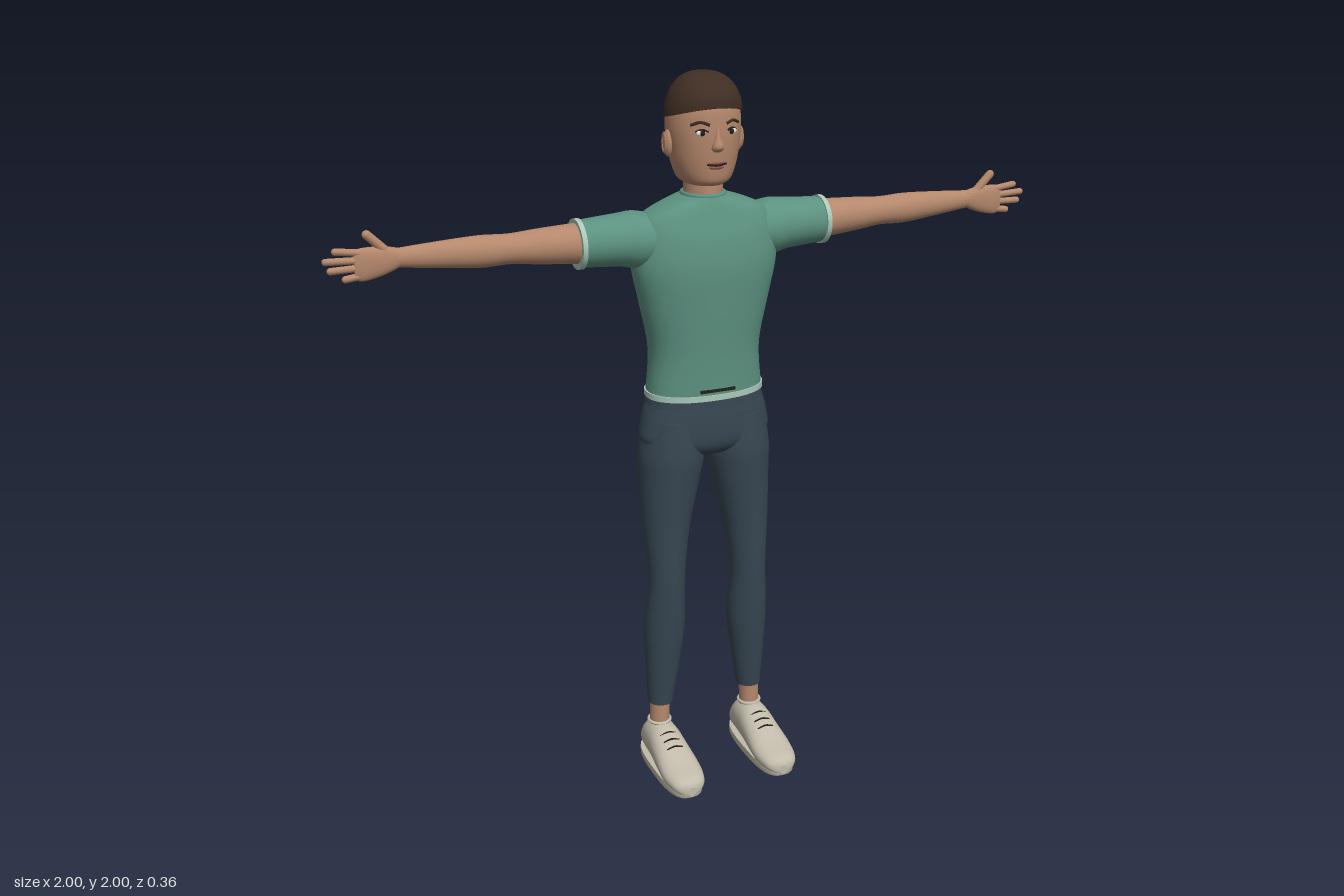
import * as THREE from 'three';

const mat = (name, color) => new THREE.MeshStandardMaterial({ name, color });
const M = {
  skin: mat('skin', 0xb5886c), shirt: mat('shirt green', 0x5c9180), trim: mat('pale trim', 0xa9c8b8),
  pants: mat('trouser blue', 0x384752), hair: mat('hair brown', 0x402e24), shoe: mat('shoe cream', 0xc2bbab),
  sole: mat('sole grey', 0xa39c8e), dark: mat('dark detail', 0x241f1e), white: mat('eye white', 0xe4dfd6),
  lips: mat('lip', 0x965a4e),
};

// Smooth closed loft. Each section is [t, centreU, centreV, radiusU, radiusV] along the given axis.
function loft(axis, sections, { power = 2, sides = 32, steps = 5 } = {}) {
  const rows = [], last = sections.length - 1;
  for (let i = 0; i <= last * steps; i++) {
    const k = Math.min(Math.floor(i / steps), last - 1), f = i / steps - k;
    const at = (n) => sections[THREE.MathUtils.clamp(n, 0, last)];
    rows.push(at(k).map((b, c) => {
      const a = at(k - 1)[c], d = at(k + 1)[c], e = at(k + 2)[c];
      return b + 0.5 * f * (d - a + f * (2 * a - 5 * b + 4 * d - e + f * (3 * (b - d) + e - a)));
    }));
  }
  const pos = [], idx = [];
  const put = (t, u, v) => pos.push(...(axis === 'x' ? [t, u, v] : axis === 'y' ? [u, t, v] : [u, v, t]));
  const flip = (axis === 'y') !== (sections[last][0] < sections[0][0]);
  const tri = (a, b, c) => idx.push(...(flip ? [a, c, b] : [a, b, c]));
  const bend = (x) => Math.sign(x) * Math.abs(x) ** (2 / power);
  const ring = ([t, cu, cv, ru, rv]) => {
    for (let j = 0; j < sides; j++) {
      const a = (j / sides) * Math.PI * 2;
      put(t, cu + ru * bend(Math.cos(a)), cv + rv * bend(Math.sin(a)));
    }
  };
  rows.forEach(ring);
  for (let i = 0; i < rows.length - 1; i++) for (let j = 0; j < sides; j++) {
    const a = i * sides + j, b = i * sides + (j + 1) % sides;
    tri(a, b, a + sides);
    tri(b, b + sides, a + sides);
  }
  [rows[0], rows[rows.length - 1]].forEach((r, end) => {
    const base = pos.length / 3;
    ring(r);
    put(r[0], r[1], r[2]);
    for (let j = 0; j < sides; j++) {
      const a = base + j, b = base + (j + 1) % sides;
      end ? tri(base + sides, a, b) : tri(base + sides, b, a);
    }
  });
  const g = new THREE.BufferGeometry();
  g.setAttribute('position', new THREE.Float32BufferAttribute(pos, 3));
  g.setIndex(idx);
  g.computeVertexNormals();
  return g;
}

const ball = (x, y, z, rx, ry, rz) => new THREE.SphereGeometry(1, 20, 14).scale(rx, ry, rz).translate(x, y, z);
const tube = (pts, r) => new THREE.TubeGeometry(
  new THREE.CatmullRomCurve3(pts.map((p) => new THREE.Vector3(...p))), 12, r, 6);

function mirrored(geometry) {
  const g = geometry.clone().scale(-1, 1, 1), ix = g.index.array;
  for (let i = 0; i < ix.length; i += 3) [ix[i], ix[i + 1]] = [ix[i + 1], ix[i]];
  g.computeVertexNormals();
  return g;
}

export function createModel() {
  const model = new THREE.Group();
  model.name = 'person';
  const add = (name, geometry, material) => {
    const m = new THREE.Mesh(geometry, material);
    m.name = name;
    model.add(m);
  };
  const pair = (name, geometry, material) => {
    add('left' + name, geometry, material);
    add('right' + name, mirrored(geometry), material);
  };

  // Head and neck
  add('head', loft('y', [
    [1.716, 0, -0.07, 0.05, 0.07], [1.73, 0, -0.068, 0.069, 0.083], [1.77, 0, -0.068, 0.085, 0.09],
    [1.82, 0, -0.069, 0.094, 0.096], [1.87, 0, -0.07, 0.098, 0.098], [1.92, 0, -0.07, 0.091, 0.094],
    [1.955, 0, -0.07, 0.068, 0.07], [1.975, 0, -0.07, 0.03, 0.03]], { power: 2.1 }), M.skin);
  add('neck', loft('y', [[1.66, 0, -0.07, 0.053, 0.06], [1.74, 0, -0.07, 0.05, 0.058]]), M.skin);

  // Hair cap with a hairline that rises to the front
  const dome = [];
  for (let i = 0; i <= 8; i++) {
    const a = (i / 8) * 1.555, r = Math.cos(a) ** 0.78;
    dome.push([1.89 + 0.11 * Math.sin(a), 0, -0.07, 0.102 * r, 0.104 * r]);
  }
  const hair = loft('y', dome, { steps: 3, sides: 40 }), hp = hair.attributes.position;
  for (let i = 0; i < hp.count; i++) {
    const s = (hp.getZ(i) + 0.07) / 0.104, y = hp.getY(i);
    hp.setY(i, y + (0.022 * s + 0.008 * s * s) * (2 - y) / 0.11);
  }
  hair.computeVertexNormals();
  add('hair', hair, M.hair);

  // Face
  const faceZ = (x) => -0.07 + 0.1 * Math.sqrt(1 - (x / 0.099) ** 2);
  pair('Ear', ball(0.098, 1.822, -0.07, 0.012, 0.035, 0.019), M.skin);
  pair('EarFold', new THREE.TorusGeometry(0.012, 0.003, 6, 20).scale(1, 1.9, 1)
    .rotateY(Math.PI / 2).translate(0.108, 1.824, -0.07), M.skin);
  pair('Eye', ball(0.041, 1.858, faceZ(0.041) - 0.002, 0.015, 0.008, 0.005), M.white);
  pair('Pupil', ball(0.04, 1.858, faceZ(0.04) + 0.001, 0.007, 0.0075, 0.004), M.dark);
  pair('UpperLid', tube([0.026, 0.041, 0.056].map((x, i) => [x, i === 1 ? 1.867 : 1.861, faceZ(x) + 0.001]), 0.0025), M.dark);
  pair('Eyebrow', tube([0.022, 0.045, 0.066].map((x, i) => [x, [1.878, 1.885, 1.877][i], faceZ(x)]), 0.004), M.hair);
  add('nose', loft('y', [
    [1.807, 0, 0.022, 0.008, 0.006], [1.815, 0, 0.025, 0.016, 0.016], [1.826, 0, 0.026, 0.015, 0.018],
    [1.845, 0, 0.023, 0.009, 0.013], [1.872, 0, 0.02, 0.006, 0.009]], { sides: 16 }), M.skin);
  add('upperLip', ball(0, 1.779, 0.019, 0.025, 0.005, 0.007), M.lips);
  add('lowerLip', ball(0, 1.768, 0.019, 0.021, 0.006, 0.008), M.lips);
  add('mouthLine', tube([[-0.027, 1.776, 0.02], [0, 1.773, 0.026], [0.027, 1.776, 0.02]], 0.0025), M.dark);

  // Shirt
  add('shirtBody', loft('y', [
    [1.145, 0, -0.07, 0.165, 0.1], [1.27, 0, -0.069, 0.156, 0.102], [1.4, 0, -0.066, 0.181, 0.107],
    [1.5, 0, -0.065, 0.202, 0.11], [1.58, 0, -0.067, 0.197, 0.102], [1.635, 0, -0.068, 0.176, 0.085],
    [1.665, 0, -0.068, 0.122, 0.074], [1.685, 0, -0.069, 0.06, 0.066]], { power: 2.25, sides: 48 }), M.shirt);
  add('collar', new THREE.TorusGeometry(0.054, 0.007, 8, 32).rotateX(Math.PI / 2)
    .scale(1, 1, 1.12).translate(0, 1.686, -0.07), M.shirt);
  add('shirtHem', loft('y', [[1.14, 0, -0.07, 0.168, 0.103], [1.156, 0, -0.07, 0.168, 0.103]],
    { power: 2.25, sides: 48 }), M.trim);
  add('hemSlot', new THREE.BoxGeometry(0.1, 0.008, 0.006).translate(0, 1.168, 0.03), M.dark);
  pair('Sleeve', loft('x', [
    [0.1, 1.575, -0.075, 0.055, 0.065], [0.185, 1.576, -0.078, 0.075, 0.08],
    [0.24, 1.58, -0.078, 0.069, 0.073], [0.35, 1.58, -0.077, 0.061, 0.062]]), M.shirt);
  pair('SleeveCuff', loft('x', [[0.341, 1.58, -0.077, 0.066, 0.067], [0.354, 1.58, -0.077, 0.066, 0.067]]), M.trim);

  // Arms and hands
  pair('Arm', loft('x', [
    [0.33, 1.582, -0.076, 0.054, 0.055], [0.45, 1.585, -0.075, 0.046, 0.044], [0.53, 1.587, -0.074, 0.039, 0.036],
    [0.61, 1.588, -0.074, 0.041, 0.036], [0.72, 1.591, -0.075, 0.033, 0.026], [0.83, 1.594, -0.075, 0.023, 0.016]]), M.skin);
  pair('Palm', loft('x', [
    [0.81, 1.594, -0.075, 0.024, 0.017], [0.85, 1.59, -0.075, 0.036, 0.016],
    [0.9, 1.585, -0.075, 0.042, 0.013], [0.922, 1.585, -0.075, 0.036, 0.008]], { power: 2.3 }), M.skin);
  const digit = (x0, y0, x1, y1, r) => {
    const g = new THREE.CapsuleGeometry(r, Math.hypot(x1 - x0, y1 - y0), 5, 12);
    return g.rotateZ(Math.atan2(y1 - y0, x1 - x0) - Math.PI / 2).translate((x0 + x1) / 2, (y0 + y1) / 2, -0.075);
  };
  [[1.614, 0.965, 1.623], [1.596, 0.99, 1.6], [1.578, 0.98, 1.576], [1.559, 0.945, 1.552]]
    .forEach(([y, x1, y1], i) => pair('Finger' + (i + 1), digit(0.895, y, x1, y1, 0.0092), M.skin));
  pair('Thumb', digit(0.835, 1.607, 0.886, 1.658, 0.0115), M.skin);

  // Trousers
  add('waistband', loft('y', [[1.118, 0, -0.07, 0.168, 0.1], [1.143, 0, -0.07, 0.164, 0.099]],
    { power: 2.25, sides: 48 }), M.pants);
  add('trouserSeat', loft('y', [
    [1.13, 0, -0.07, 0.165, 0.097], [1.07, 0, -0.07, 0.181, 0.1], [1.01, 0, -0.07, 0.182, 0.096],
    [0.975, 0, -0.07, 0.1, 0.07], [0.962, 0, -0.07, 0.03, 0.03]], { power: 2.25, sides: 48 }), M.pants);
  pair('TrouserLeg', loft('y', [
    [1.08, 0.09, -0.07, 0.08, 0.092], [0.98, 0.097, -0.07, 0.092, 0.098], [0.9, 0.105, -0.071, 0.085, 0.094],
    [0.75, 0.12, -0.059, 0.065, 0.073], [0.6, 0.125, -0.044, 0.051, 0.054], [0.45, 0.128, -0.06, 0.058, 0.06],
    [0.32, 0.134, -0.065, 0.048, 0.05], [0.2, 0.14, -0.068, 0.036, 0.038]]), M.pants);

  // Ankles and shoes
  pair('Ankle', loft('y', [[0.1, 0.144, -0.068, 0.029, 0.031], [0.22, 0.142, -0.068, 0.028, 0.03]]), M.skin);
  const shoe = [[-0.14, 0.06, 0.022], [-0.125, 0.098, 0.037], [-0.09, 0.132, 0.045], [-0.03, 0.136, 0.05],
    [0.03, 0.114, 0.055], [0.1, 0.085, 0.059], [0.15, 0.071, 0.05], [0.172, 0.06, 0.034], [0.18, 0.047, 0.012]];
  pair('Shoe', loft('z', shoe.map(([z, top, w]) =>
    [z, 0.144, (top + 0.018) / 2, w, (top - 0.018) / 2]), { power: 2.2 }), M.shoe);
  pair('Sole', loft('y', [[0.008, 0.144, 0.018, 0.052, 0.152], [0.016, 0.144, 0.018, 0.058, 0.161],
    [0.036, 0.144, 0.018, 0.058, 0.161]], { power: 2.8, steps: 2 }), M.shoe);
  pair('Outsole', loft('y', [[0, 0.144, -0.02, 0.034, 0.1], [0.012, 0.144, -0.01, 0.046, 0.13]],
    { power: 2.6, steps: 2 }), M.sole);
  pair('ShoeOpening', new THREE.TorusGeometry(0.031, 0.005, 8, 28).rotateX(Math.PI / 2)
    .translate(0.144, 0.137, -0.068), M.shoe);
  [[0, 0.126], [0.025, 0.117], [0.05, 0.107]].forEach(([z, top], i) => pair('Lace' + (i + 1),
    tube([-0.024, 0, 0.024].map((x) => [0.144 + x, top + (x ? -0.006 : 0.001), z]), 0.0025), M.dark));

  return model;
}
